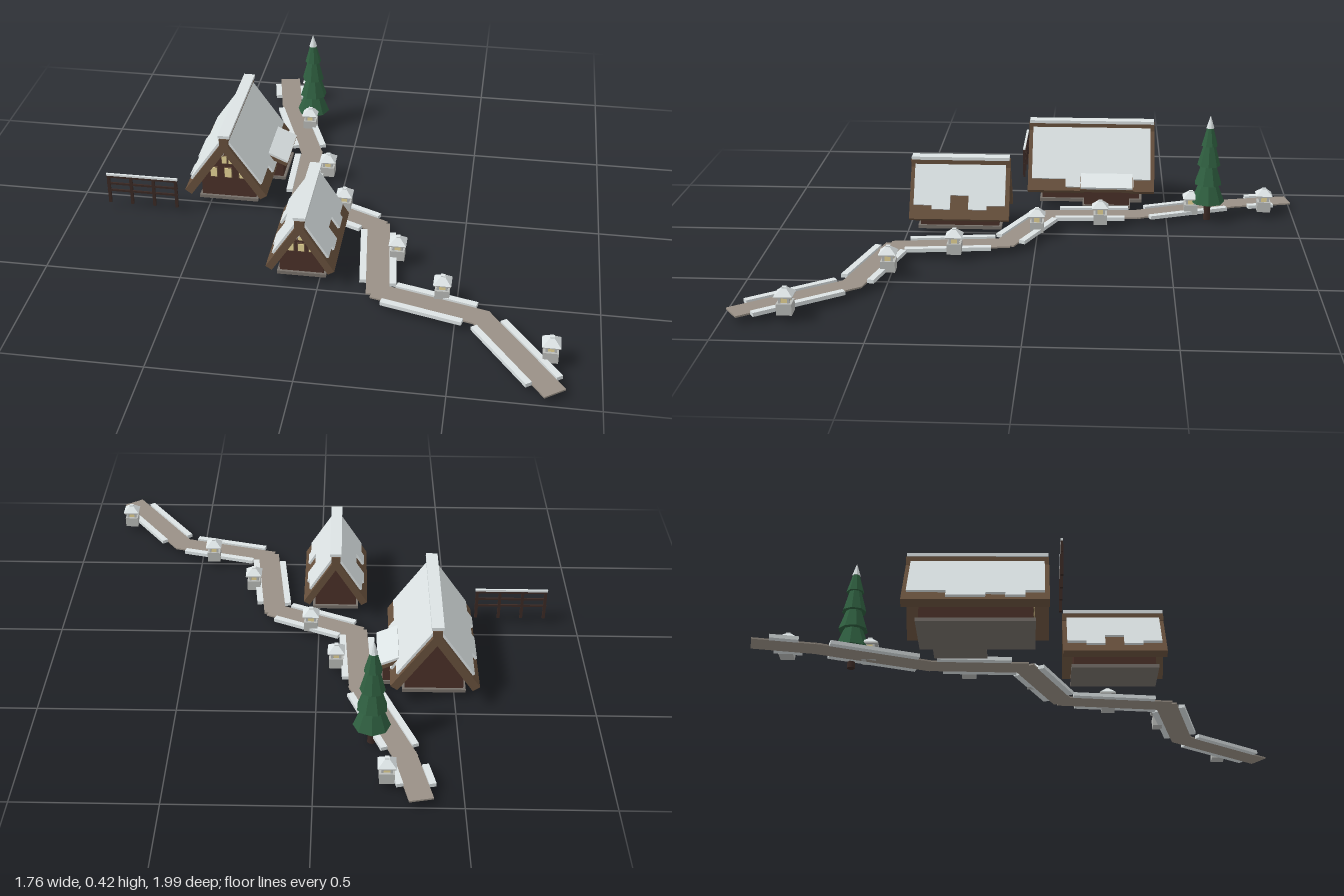
import * as THREE from 'three';

const mat = (name, color) => {
  const m = new THREE.MeshStandardMaterial({ color });
  m.name = name;
  return m;
};

export function createModel() {
  const snow = mat('snow', 0xdce3e4), stone = mat('stone', 0xb9bbb8), paving = mat('paving', 0x999086);
  const wall = mat('darkWood', 0x4a3028), wood = mat('roofWood', 0x67503c), post = mat('fenceWood', 0x3a2924);
  const green = mat('needles', 0x2f5f40), glow = mat('warmGlass', 0xe6d596), slab = mat('foundation', 0x77706a);
  const root = new THREE.Group();
  const G = 0.024; // ground level

  const group = (name, parent = root, x = 0, y = 0, z = 0) => {
    const g = new THREE.Group();
    g.name = name;
    g.position.set(x, y, z);
    parent.add(g);
    return g;
  };
  const add = (name, geo, m, parent, x = 0, y = 0, z = 0) => {
    const mesh = new THREE.Mesh(geo, m);
    mesh.name = name;
    mesh.position.set(x, y, z);
    parent.add(mesh);
    return mesh;
  };
  // Box given by its bottom height
  const box = (name, m, parent, w, h, d, x, y, z) =>
    add(name, new THREE.BoxGeometry(w, h, d), m, parent, x, y + h / 2, z);
  const flat = (pts, depth) => new THREE.ExtrudeGeometry(
    new THREE.Shape(pts.map(p => new THREE.Vector2(...p))), { depth, bevelEnabled: false });

  // Winding path with snow banks on both sides
  const path = group('path');
  const pts = [[-.354, -.978], [-.31, -.77], [-.16, -.38], [-.145, -.035], [.175, .11], [.22, .515], [.59, .61], [.838, .955]];
  for (let i = 0; i < pts.length - 1; i++) {
    const [ax, az] = pts[i], [bx, bz] = pts[i + 1];
    const len = Math.hypot(bx - ax, bz - az);
    const seg = group('pathSegment', path, (ax + bx) / 2, 0, (az + bz) / 2);
    seg.rotation.y = Math.atan2(bx - ax, bz - az);
    box('paving', paving, seg, 0.084, 0.006, len + 0.03, 0, G, 0);
    for (const s of [-1, 1])
      box('snowBank', snow, seg, 0.024, 0.014, len * (i ? 0.78 : 0.48), s * 0.054, G, s * 0.01);
  }

  // Stone lanterns
  const lanterns = [[-.245, -.885], [-.2, -.595], [-.07, -.24], [.03, 0], [.267, .29], [.447, .505], [.828, .788]];
  for (const [x, z] of lanterns) {
    const g = group('lantern', root, x, 0, z);
    box('lanternBase', stone, g, 0.052, 0.04, 0.052, 0, G, 0);
    box('lanternLight', glow, g, 0.032, 0.024, 0.032, 0, 0.064, 0);
    for (const sx of [-1, 1]) for (const sz of [-1, 1])
      box('lanternCorner', stone, g, 0.008, 0.024, 0.008, sx * 0.015, 0.064, sz * 0.015);
    const roof = new THREE.CylinderGeometry(0.012, 0.045, 0.022, 4).toNonIndexed();
    roof.rotateY(Math.PI / 4);
    roof.computeVertexNormals();
    box('lanternEave', stone, g, 0.06, 0.005, 0.06, 0, 0.086, 0);
    add('lanternSnow', roof, snow, g, 0, 0.102, 0);
    box('lanternCap', snow, g, 0.015, 0.006, 0.015, 0, 0.111, 0);
  }

  // Steep gabled cabin: apex height, half roof width, eave height, roof thickness
  function cabin(name, x, z, o) {
    const g = group(name, root, x, 0, z);
    const { apex, half, eave, t, depth, wallHalf, wallDepth } = o;
    const h = apex - eave, L = Math.hypot(half, h);
    const nx = h / L, ny = half / L, drop = t / ny;
    const ix = half - t * nx, iy = eave - t * ny;
    box('foundation', slab, g, wallHalf * 2 + 0.018, 0.013, wallDepth + 0.02, 0, G, 0);

    // Walls with both gables
    const top = apex - drop, shoulder = top - wallHalf * h / half;
    const body = flat([[-wallHalf, 0.036], [wallHalf, 0.036], [wallHalf, shoulder], [0, top], [-wallHalf, shoulder]], wallDepth);
    add('walls', body, wall, g, 0, 0, -wallDepth / 2);

    // Timber roof
    const roof = flat([[0, apex], [-half, eave], [-ix, iy], [0, top], [ix, iy], [half, eave]], depth);
    add('roof', roof, wood, g, 0, 0, -depth / 2);

    // Snow sheets with a ragged lower edge
    const span = depth - 0.032, n = o.edge.length;
    const outline = [[span / 2, 0], [-span / 2, 0]];
    o.edge.forEach((f, i) => {
      const a = -span / 2 + span * i / n;
      outline.push([a, -f * L], [a + span / n, -f * L]);
    });
    for (const turn of [0, Math.PI]) {
      const side = group('snowSide', g);
      side.rotation.y = turn;
      const sheet = add('roofSnow', flat(outline, 0.009), snow, side);
      sheet.applyMatrix4(new THREE.Matrix4().makeBasis(
        new THREE.Vector3(0, 0, -1), new THREE.Vector3(-ny, nx, 0), new THREE.Vector3(nx, ny, 0)));
      sheet.position.set(0, apex, 0);
    }

    // Ridge beam and its snow
    box('ridgeBeam', wood, g, 0.034, 0.03, depth, 0, apex - 0.022, 0);
    box('ridgeSnow', snow, g, 0.044, 0.012, depth - 0.006, 0, apex + 0.008, 0);

    // Front windows and pale gable chevron
    const fz = wallDepth / 2 + 0.002;
    for (const [wx, wy, w, hh] of o.windows) {
      box('windowFrame', wood, g, w + 0.006, hh + 0.006, 0.004, wx, wy - 0.003, fz);
      box('window', glow, g, w, hh, 0.006, wx, wy, fz + 0.001);
    }
    const c = o.chevron, cy = top - 0.004, k = h / half;
    add('gableTrim', flat([[0, cy], [-c, cy - c * k], [-c + 0.007, cy - c * k], [0, cy - 0.016],
      [c - 0.007, cy - c * k], [c, cy - c * k]], 0.006), snow, g, 0, 0, fz);
    return g;
  }

  const big = cabin('largeCabin', -.425, -.2, {
    apex: 0.316, half: 0.16, eave: 0.085, t: 0.031, depth: 0.506, wallHalf: 0.106, wallDepth: 0.39,
    edge: [.83, .83, .95, .95, .88, .95, .83],
    windows: [[-.056, .123, .024, .04], [0, .123, .026, .04], [.056, .123, .024, .04], [-.013, .185, .018, .03], [.013, .185, .018, .03]],
    chevron: 0.03,
  });
  cabin('smallCabin', -.063, .296, {
    apex: 0.27, half: 0.124, eave: 0.075, t: 0.027, depth: 0.38, wallHalf: 0.08, wallDepth: 0.3,
    edge: [.77, .84, .6, .84, .77],
    windows: [[-.038, .128, .02, .03], [0, .128, .022, .03], [.038, .128, .02, .03], [0, .175, .022, .022]],
    chevron: 0.024,
  });

  // Side annex with a sloping roof
  const annex = group('annex', big, 0, 0, -.063);
  add('annexWalls', flat([[.08, .036], [.184, .036], [.184, .106], [.08, .15]], 0.18), wall, annex, 0, 0, -.09);
  box('annexFoundation', slab, annex, 0.11, 0.013, 0.19, .138, G, 0);
  const lid = group('annexRoof', annex, .164, .124, 0);
  lid.rotation.z = -0.42;
  box('annexRoofBoard', wood, lid, 0.088, 0.014, 0.21, 0, -.014, 0);
  box('annexSnow', snow, lid, 0.084, 0.009, 0.206, 0, 0, 0);

  // Fir tree
  const tree = group('firTree', root, -.197, 0, -.66);
  add('trunk', new THREE.CylinderGeometry(0.012, 0.015, 0.1, 7), post, tree, 0, 0.05, 0);
  const tier = (name, m, rTop, rBottom, y0, y1, i) => {
    const geo = new THREE.CylinderGeometry(rTop, rBottom, y1 - y0, 8).toNonIndexed();
    geo.computeVertexNormals();
    add(name, geo, m, tree, 0, (y0 + y1) / 2, 0).rotation.y = i * 0.35;
  };
  [[.066, .075], [.055, .15], [.045, .225], [.033, .305]].forEach(([r, y], i) =>
    tier('branches', green, i < 3 ? r * 0.4 : 0.009, r, y, i < 3 ? y + 0.1 : 0.39, i));
  tier('snowTip', snow, 0.001, 0.016, 0.375, 0.423, 3);

  // Fence
  const fence = group('fence', root, -.744, 0, .087);
  for (let i = 0; i < 4; i++) box('fencePost', post, fence, 0.011, 0.12, 0.009, -.132 + i * 0.088, G, 0);
  for (const y of [.076, .106, .136]) box('fenceRail', post, fence, 0.278, 0.008, 0.006, 0, y, 0);
  box('fenceSnow', snow, fence, 0.28, 0.008, 0.009, 0, 0.145, 0);

  return root;
}
